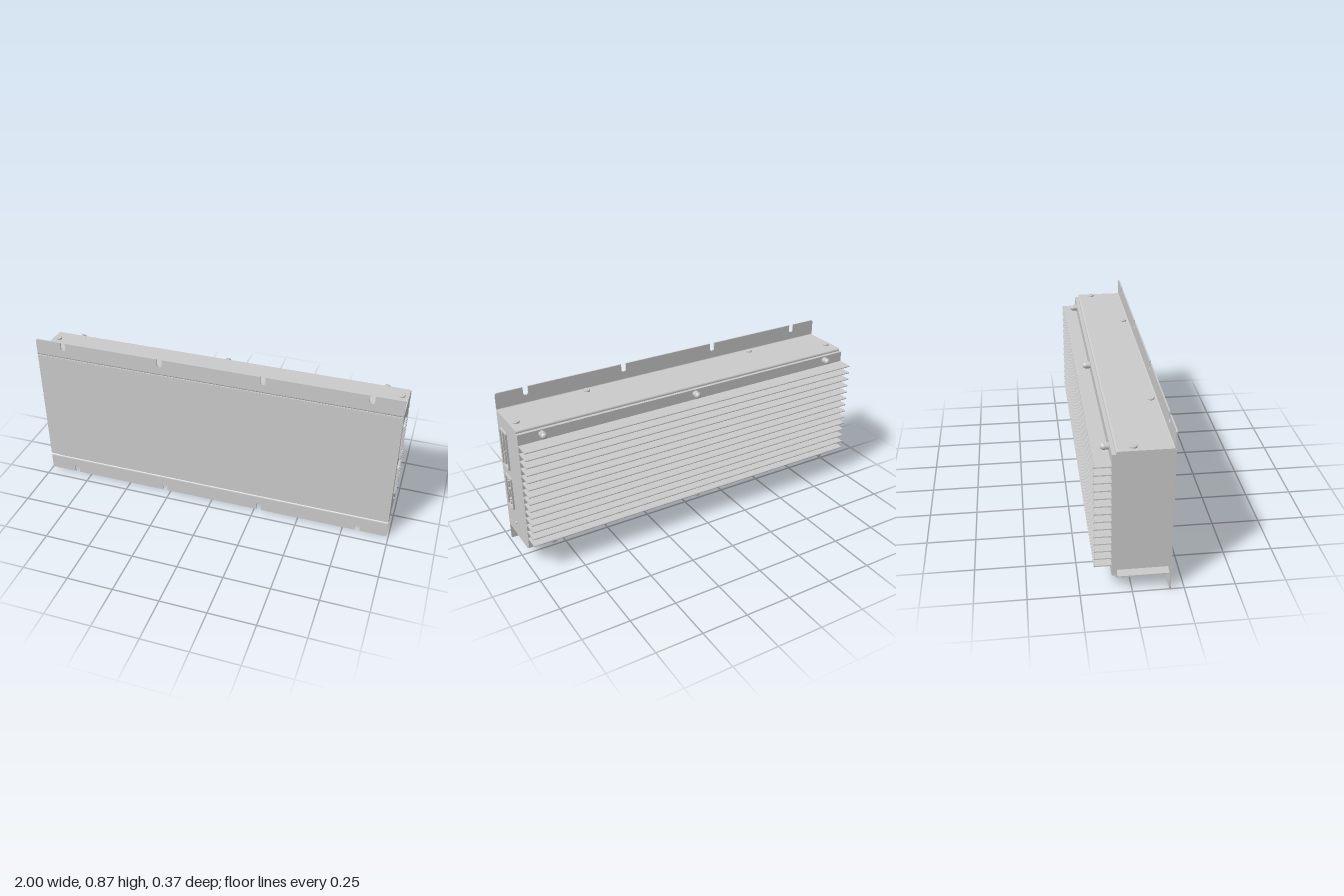
import * as THREE from 'three';

const MAT = new THREE.MeshStandardMaterial({ color: 0xcccccc, side: THREE.DoubleSide });
const L = 0.995; // half length of the case

function add(parent, name, geo, x = 0, y = 0, z = 0) {
  const m = new THREE.Mesh(geo, MAT);
  m.name = name;
  m.position.set(x, y, z);
  parent.add(m);
  return m;
}
const box = (w, h, d) => new THREE.BoxGeometry(w, h, d);

// Rounded rectangle as a Shape or (for holes) a Path
function roundRect(Type, x0, y0, x1, y1, r) {
  const p = new Type();
  p.moveTo(x0 + r, y0);
  p.lineTo(x1 - r, y0).absarc(x1 - r, y0 + r, r, -Math.PI / 2, 0);
  p.lineTo(x1, y1 - r).absarc(x1 - r, y1 - r, r, 0, Math.PI / 2);
  p.lineTo(x0 + r, y1).absarc(x0 + r, y1 - r, r, Math.PI / 2, Math.PI);
  p.lineTo(x0, y0 + r).absarc(x0 + r, y0 + r, r, Math.PI, Math.PI * 1.5);
  return p;
}
const extrude = (shape, depth, curveSegments = 6) =>
  new THREE.ExtrudeGeometry(shape, { depth, bevelEnabled: false, curveSegments });

// Shape drawn in (-z, y), extruded along +x
const alongX = (shape, x0, x1) => extrude(shape, x1 - x0).rotateY(Math.PI / 2).translate(x0, 0, 0);
// Shape drawn in (x, z), extruded between two heights
const alongY = (shape, y0, y1) => extrude(shape, y1 - y0).rotateX(Math.PI / 2).translate(0, y1, 0);

const polygon = (pts) => new THREE.Shape(pts.map(([a, b]) => new THREE.Vector2(a, b)));

// Pan-head screw pointing up, with a cross recess
function screw(parent, x, z) {
  const g = new THREE.Group();
  g.name = 'screw';
  const head = new THREE.Shape().absarc(0, 0, 0.015, 0, Math.PI * 2);
  const a = 0.0025, b = 0.009;
  head.holes.push(new THREE.Path([[a, a], [a, b], [-a, b], [-a, a], [-b, a], [-b, -a],
    [-a, -a], [-a, -b], [a, -b], [a, -a], [b, -a], [b, a]].map(([u, v]) => new THREE.Vector2(u, v))));
  const geo = new THREE.ExtrudeGeometry(head, {
    depth: 0.005, bevelThickness: 0.003, bevelSize: 0.002, bevelSegments: 2, curveSegments: 14 });
  add(g, 'screwHead', geo.rotateX(-Math.PI / 2), 0, 0.003);
  add(g, 'screwCore', new THREE.CylinderGeometry(0.014, 0.014, 0.004, 20), 0, 0.002);
  g.position.set(x, 0.343, z);
  parent.add(g);
}

// Acorn nut pointing backwards
function acornNut(parent, x, y) {
  const g = new THREE.Group();
  g.name = 'acornNut';
  add(g, 'nutHex', new THREE.CylinderGeometry(0.02, 0.02, 0.022, 6).rotateX(Math.PI / 2), 0, 0, -0.011);
  const dome = new THREE.SphereGeometry(0.018, 20, 8, 0, Math.PI * 2, 0, Math.PI / 2);
  add(g, 'nutDome', dome.rotateX(-Math.PI / 2), 0, 0, -0.023);
  g.position.set(x, y, -0.1);
  parent.add(g);
}

// Mounting bracket with slotted flange, screws and nuts; drawn for the top edge
function bracketSide(name, sockets) {
  const g = new THREE.Group();
  g.name = name;
  const plate = polygon([[-L, -0.072], [L, -0.072], [L, 0.173], [-L, 0.173]]);
  for (const x of sockets) plate.holes.push(roundRect(THREE.Path, x - 0.115, -0.023, x + 0.115, 0.029, 0.006));
  add(g, 'bracketPlate', alongY(plate, 0.336, 0.343));

  // Bend from plate to flange, and the lip over the back edge
  const bend = new THREE.Shape();
  bend.moveTo(-0.173, 0.336);
  bend.absarc(-0.173, 0.348, 0.012, -Math.PI / 2, -Math.PI, true);
  bend.lineTo(-0.178, 0.348);
  bend.absarc(-0.173, 0.348, 0.005, Math.PI, Math.PI * 1.5);
  add(g, 'bracketBend', alongX(bend, -L, L));
  const lip = new THREE.Shape();
  lip.moveTo(0.072, 0.336);
  lip.lineTo(0.072, 0.343);
  lip.absarc(0.072, 0.333, 0.01, Math.PI / 2, 0, true);
  lip.lineTo(0.082, 0.326).lineTo(0.072, 0.326);
  add(g, 'bracketLip', alongX(lip, -L, L));

  // Flange with open slots along its free edge
  const s = new THREE.Shape();
  const r = 0.01, top = 0.433, w = 0.014;
  s.moveTo(-L, 0.348);
  s.lineTo(-L, top - r).absarc(-L + r, top - r, r, Math.PI, Math.PI / 2, true);
  for (const x of [-0.835, -0.28, 0.28, 0.835]) {
    s.lineTo(x - w, top).lineTo(x - w, 0.402);
    s.absarc(x, 0.402, w, Math.PI, Math.PI * 2);
    s.lineTo(x + w, top);
  }
  s.lineTo(L - r, top).absarc(L - r, top - r, r, Math.PI / 2, 0, true);
  s.lineTo(L, 0.348);
  add(g, 'slottedFlange', extrude(s, 0.007), 0, 0, 0.178);

  for (const sx of [-1, 1]) {
    screw(g, sx * 0.96, 0);
    screw(g, sx * 0.513, 0.148);
  }
  for (const x of [-0.87, 0, 0.87]) acornNut(g, x, 0.304);

  // Sockets sunk into the edge
  if (sockets.length) {
    const layer = polygon([[-L, -0.075], [0.945, -0.075], [0.945, 0.184], [-L, 0.184]]);
    for (const x of sockets) {
      layer.holes.push(roundRect(THREE.Path, x - 0.115, -0.023, x + 0.115, 0.029, 0.006));
      const rim = roundRect(THREE.Shape, x - 0.125, -0.031, x + 0.125, 0.037, 0.01);
      rim.holes.push(roundRect(THREE.Path, x - 0.115, -0.023, x + 0.115, 0.029, 0.006));
      add(g, 'socketRim', alongY(rim, 0.343, 0.348));
      add(g, 'socketTongue', box(0.2, 0.025, 0.012), x, 0.312, -0.006);
      for (let i = 0; i < 7; i++) add(g, 'socketRib', box(0.01, 0.03, 0.036), x - 0.09 + i * 0.03, 0.317, 0.011);
    }
    add(g, 'socketWall', alongY(layer, 0.296, 0.336));
  }
  return g;
}

export function createModel() {
  const model = new THREE.Group();
  model.name = 'controllerCase';
  const core = new THREE.Group();
  core.name = 'caseAssembly';
  core.position.set(-0.005, 0.433, 0);
  model.add(core);

  // Main case, leaving room below and at the left end for the sockets
  add(core, 'caseBody', box(L + 0.945, 0.632, 0.259), -0.025, 0.02, 0.0545);
  add(core, 'heatsinkBase', box(2 * L, 0.656, 0.025), 0, 0, -0.0875);
  add(core, 'frontCover', box(2 * L, 0.664, 0.004), 0, 0, 0.183);

  // Cooling fins with rounded tips
  for (let i = 0; i < 14; i++) {
    const y = -0.268 + i * 0.0412;
    add(core, 'fin', box(2 * L, 0.006, 0.08), 0, y, -0.14);
    add(core, 'finTip', new THREE.CylinderGeometry(0.004, 0.004, 2 * L, 8).rotateZ(Math.PI / 2), 0, y, -0.18);
  }

  // End wall with two connector openings and a small hole
  const wall = polygon([[-0.182, -0.336], [0.075, -0.336], [0.075, 0.336], [-0.182, 0.336]]);
  const ports = [
    { y0: 0.058, y1: 0.26, z0: 0.066, z1: 0.135, // upper connector
      keys: [[0.058, 0.132, 0.121, 0.135], [0.132, 0.178, 0.13, 0.135], [0.178, 0.248, 0.121, 0.135], [0.154, 0.159, 0.066, 0.083]],
      block: [0.125, 0.185, 0.09, 0.13] },
    { y0: -0.178, y1: -0.004, z0: 0.066, z1: 0.127, // lower connector
      keys: [[-0.178, -0.163, 0.112, 0.127], [-0.152, -0.145, 0.108, 0.127], [-0.125, -0.088, 0.117, 0.127],
        [-0.088, -0.083, 0.108, 0.127], [-0.07, -0.04, 0.117, 0.127], [-0.03, -0.023, 0.108, 0.127], [-0.016, -0.004, 0.114, 0.127]],
      block: [-0.115, -0.065, 0.085, 0.11] },
  ];
  for (const p of ports) {
    const opening = () => roundRect(THREE.Path, -p.z1, p.y0, -p.z0, p.y1, 0.006);
    wall.holes.push(opening());
    const rim = roundRect(THREE.Shape, -p.z1 - 0.007, p.y0 - 0.008, -p.z0 + 0.007, p.y1 + 0.008, 0.012);
    rim.holes.push(opening());
    add(core, 'connectorRim', alongX(rim, L, 1.005));
    const bar = (name, [y0, y1, z0, z1], x0, x1) =>
      add(core, name, box(x1 - x0, y1 - y0, z1 - z0), (x0 + x1) / 2, (y0 + y1) / 2, (z0 + z1) / 2);
    for (const k of p.keys) bar('connectorKey', k, 0.945, 0.998);
    bar('connectorBlock', p.block, 0.945, 0.975);
    // Contact pins
    for (let i = 0; i < 8; i++)
      for (const z of [0.078, 0.1])
        add(core, 'contactPin', box(0.025, 0.005, 0.005), 0.957, p.y0 + 0.02 + i * (p.y1 - p.y0 - 0.04) / 7, z);
  }
  add(core, 'connectorEndWall', alongX(wall, 0.945, L));
  const button = new THREE.SphereGeometry(0.008, 14, 6, 0, Math.PI * 2, 0, Math.PI / 2);
  add(core, 'indicator', button.rotateZ(-Math.PI / 2), L, -0.264, 0.06);

  // Top edge, and the same part turned over for the bottom edge with sockets
  core.add(bracketSide('topBracket', []));
  const bottom = bracketSide('bottomBracket', [-0.725, -0.365, -0.005, 0.405, 0.765]);
  bottom.rotation.z = Math.PI;
  core.add(bottom);

  // Grounding stud
  const stud = new THREE.Group();
  stud.name = 'groundStud';
  const pts = [[0, 0], [0.012, 0.001], [0.017, 0.006], [0.017, 0.012], [0.012, 0.015], [0.012, 0.052]];
  add(stud, 'studBolt', new THREE.LatheGeometry(pts.map(([a, b]) => new THREE.Vector2(a, b)), 20));
  add(stud, 'studNut', new THREE.CylinderGeometry(0.017, 0.017, 0.01, 6), 0, 0.045);
  stud.position.set(-0.905, -0.393, 0.13);
  core.add(stud);

  return model;
}
